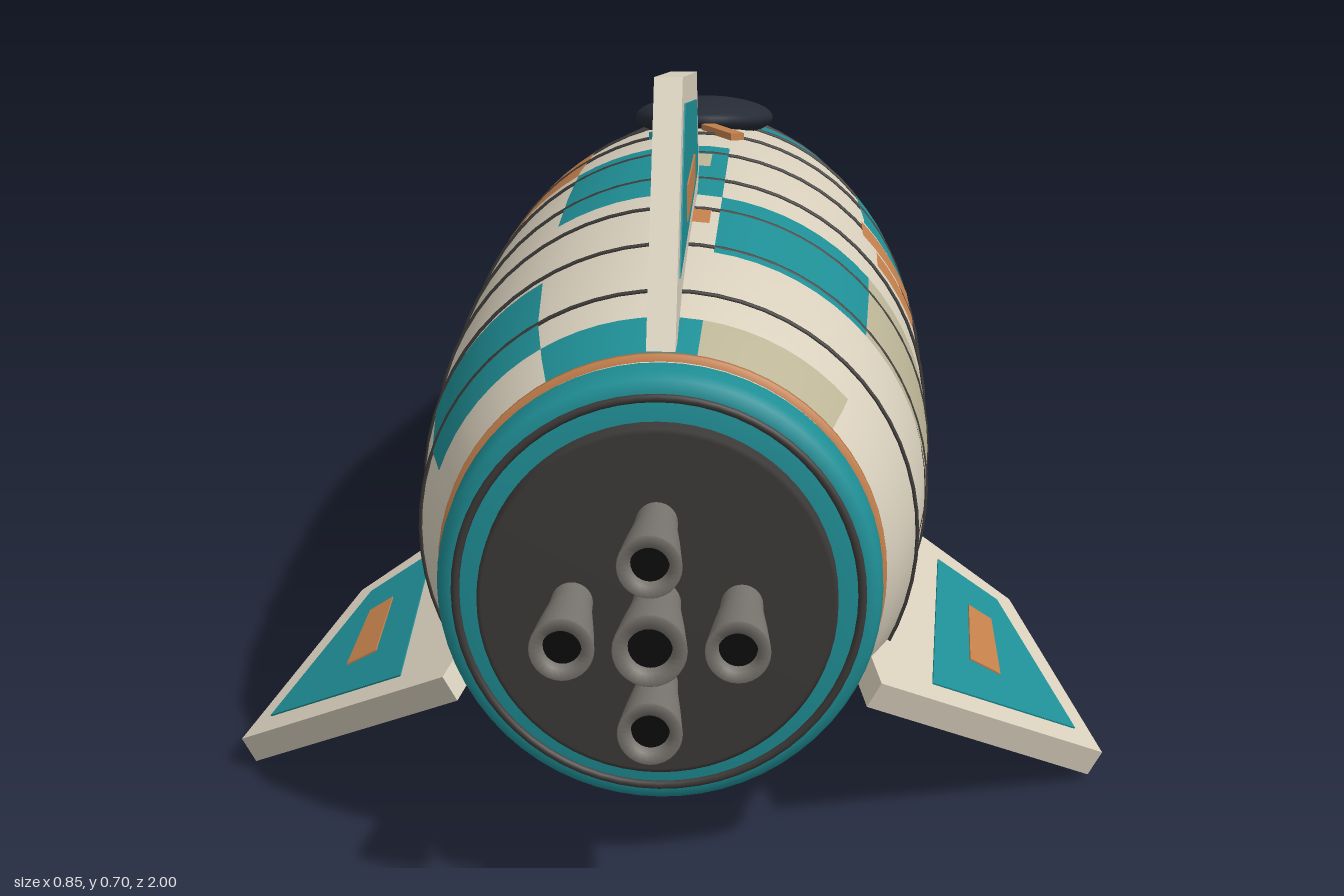
import * as THREE from 'three';

const mat = (color, side = THREE.FrontSide) =>
  new THREE.MeshStandardMaterial({ color, side });
const M = {
  cream: mat(0xd9d0bd), khaki: mat(0xbdb597), teal: mat(0x1f8f96), copper: mat(0xc4804c),
  dark: mat(0x3c3a38), black: mat(0x0c0c0c), glass: mat(0x262c36),
  metal: mat(0x77736d, THREE.DoubleSide),
};

// Hull radius along z, nose first
const HULL = [[-0.95, 0.016], [-0.84, 0.065], [-0.74, 0.108], [-0.66, 0.128], [-0.58, 0.149],
  [-0.44, 0.182], [-0.26, 0.215], [-0.1, 0.239], [0.05, 0.25], [0.2, 0.254], [0.4, 0.254],
  [0.55, 0.249], [0.67, 0.238], [0.74, 0.22], [0.79, 0.202]];
function radius(z) {
  for (let i = 1; i < HULL.length; i++) {
    const [z0, r0] = HULL[i - 1], [z1, r1] = HULL[i];
    if (z <= z1) return r0 + (r1 - r0) * (z - z0) / (z1 - z0);
  }
  return HULL[HULL.length - 1][1];
}

export function createModel() {
  const model = new THREE.Group();
  const ship = new THREE.Group();
  ship.name = 'rocket';
  ship.position.set(-0.006, 0.26, 0);
  model.add(ship);

  const add = (name, geo, material, parent = ship) => {
    const m = new THREE.Mesh(geo, material);
    m.name = name;
    parent.add(m);
    return m;
  };
  // Surface of revolution about z; angles in degrees from the top towards +x
  const revolve = (pts, a0 = 0, a1 = 360, seg = 64) =>
    new THREE.LatheGeometry(pts.map(([z, r]) => new THREE.Vector2(r, z)), seg,
      Math.PI - THREE.MathUtils.degToRad(a1), THREE.MathUtils.degToRad(a1 - a0)).rotateX(Math.PI / 2);
  // Painted area lying just above the hull
  const patch = (name, z0, z1, a0, a1, material, lift = 0.0015) => {
    const zs = [z0, ...HULL.map(p => p[0]).filter(z => z > z0 && z < z1), z1];
    return add(name, revolve(zs.map(z => [z, radius(z) + lift]), a0, a1,
      Math.max(3, Math.ceil((a1 - a0) / 5))), material);
  };

  add('hull', revolve(HULL), M.cream);

  // Painted panels: nine sectors of 40 degrees, [column, sector, paint]
  const cols = [-0.67, -0.6, -0.415, -0.18, 0.07, 0.33, 0.55, 0.72, 0.785];
  const panels = [
    [0, 1, 'teal'], [0, -2, 'khaki'], [0, 3, 'teal'], [1, -1, 'copper'], [1, 3, 'teal'],
    [2, 0, 'teal'], [2, 2, 'copper'], [2, -3, 'khaki'],
    [3, 1, 'teal'], [3, 3, 'teal'], [3, -2, 'copper'], [4, -1, 'teal'], [4, 4, 'teal'],
    [5, 0, 'teal'], [5, 1, 'khaki'], [5, 2, 'teal'], [5, -3, 'copper'],
    [6, -2, 'teal'], [6, 3, 'teal'], [7, -1, 'teal'], [7, 0, 'khaki'], [7, -4, 'copper'],
  ];
  for (const [c, s, paint] of panels)
    patch('hullPanel', cols[c], cols[c + 1], 9 + s * 40, 49 + s * 40, M[paint]);

  // Checks on the nose
  const noseRows = [-0.9, -0.86, -0.82, -0.775, -0.73];
  const paints = ['teal', 'khaki', 'teal', 'copper', 'teal'];
  for (let row = 0; row < 4; row++)
    for (let s = row % 2; s < 10; s += 2)
      if ((s + row * 3) % 5 !== 4)
        patch('noseCheck', noseRows[row], noseRows[row + 1], s * 36 - 18, s * 36 + 18,
          M[paints[(s + row * 2) % 5]]);

  // Nose band and tip
  add('noseBand', revolve([[-0.735, 0.108], [-0.733, 0.116], [-0.675, 0.131], [-0.672, 0.124]]), M.copper);
  add('noseTip', revolve([[-1, 0.0005], [-0.948, 0.023], [-0.944, 0.021], [-0.944, 0]], 0, 360, 24), M.copper);

  // Seams: hoops and lengthwise lines
  for (let i = 0; i < 10; i++) {
    const z = 0.67 - i * 0.14;
    add('hoopSeam', new THREE.TorusGeometry(radius(z) + 0.001, 0.0022, 6, 64), M.dark).position.z = z;
  }
  for (const a of [89.5, 269.5]) patch('longSeam', -0.45, 0.67, a, a + 1, M.dark, 0.0025);

  // Small hatches and plates
  const hatches = [[0.1, 0.17, 47, 69, 'copper'], [0.18, 0.24, 52, 70, 'copper'],
    [0.18, 0.24, 129, 145, 'teal'], [0.13, 0.2, -6, 5, 'khaki'], [0.405, 0.455, -5, 7, 'copper']];
  for (const [z0, z1, a0, a1, paint] of hatches)
    patch('hatch', z0, z1, a0, a1, M[paint], 0.004);

  // Canopy with two straps behind it
  const canopy = add('canopy', new THREE.SphereGeometry(1, 40, 20), M.glass);
  canopy.scale.set(0.082, 0.025, 0.14);
  canopy.position.set(0, 0.228, -0.21);
  canopy.rotation.x = -0.16;
  for (const s of [-1, 1]) {
    const strap = add('canopyStrap', new THREE.BoxGeometry(0.016, 0.008, 0.095), s < 0 ? M.teal : M.copper);
    strap.position.set(s * 0.028, 0.247, -0.03);
    strap.rotation.set(-0.08, s * 0.4, 0);
  }

  // Fins: slab with an inlaid panel and bar showing on both faces; points are [z, radius]
  const slab = (pts, t) => new THREE.ExtrudeGeometry(
    new THREE.Shape(pts.map(([z, r]) => new THREE.Vector2(z, r))), { depth: t, bevelEnabled: false })
    .translate(0, 0, -t / 2).rotateY(-Math.PI / 2);
  for (const [angle, tip] of [[0, 0.44], [120, 0.482], [240, 0.482]]) {
    const fin = new THREE.Group();
    fin.name = 'fin';
    const d = tip - 0.44;
    add('finSlab', slab([[0.8, 0.215 + d / 3], [0.648, tip], [0.33, 0.385 + d / 5], [0.28, 0.27 + d / 3],
      [0.33, 0.235], [0.7, 0.21]], 0.027), M.cream, fin);
    add('finPanel', slab([[0.725, 0.265 + d / 2], [0.625, 0.41 + d], [0.36, 0.362 + d / 3],
      [0.335, 0.283 + d / 2]], 0.03), M.teal, fin);
    add('finBar', slab([[0.6, 0.29 + d], [0.595, 0.325 + d], [0.44, 0.322 + d], [0.435, 0.295 + d]], 0.033), M.copper, fin);
    fin.rotation.z = -THREE.MathUtils.degToRad(angle);
    ship.add(fin);
  }

  // Tail collar and engine plate
  add('collarTrim', revolve([[0.778, 0.2], [0.78, 0.209], [0.787, 0.209], [0.789, 0.2]]), M.copper);
  add('collar', revolve([[0.787, 0.19], [0.79, 0.201], [0.8, 0.205], [0.83, 0.205], [0.843, 0.201],
    [0.85, 0.19], [0.852, 0.15]]), M.teal);
  add('collarRing', new THREE.TorusGeometry(0.186, 0.004, 8, 64), M.dark).position.z = 0.851;
  add('enginePlate', revolve([[0.845, 0.164], [0.874, 0.164], [0.876, 0.16], [0.876, 0]]), M.dark);

  // Five nozzles: one central, four around it
  const nozzle = (x, y, s) => {
    const g = new THREE.Group();
    g.name = 'nozzle';
    g.position.set(x, y, 0);
    add('nozzleBell', revolve([[0.872, 0.019 * s], [0.9, 0.02 * s], [0.95, 0.025 * s], [0.998, 0.029 * s],
      [1, 0.028 * s], [1, 0.018 * s], [0.985, 0.017 * s]], 0, 360, 28), M.metal, g);
    add('nozzleThroat', new THREE.CircleGeometry(0.018 * s, 28), M.black, g).position.z = 0.987;
    ship.add(g);
  };
  nozzle(0, 0, 1.15);
  for (let i = 0; i < 4; i++)
    nozzle(0.077 * Math.cos(i * Math.PI / 2), 0.077 * Math.sin(i * Math.PI / 2), 1);

  return model;
}
